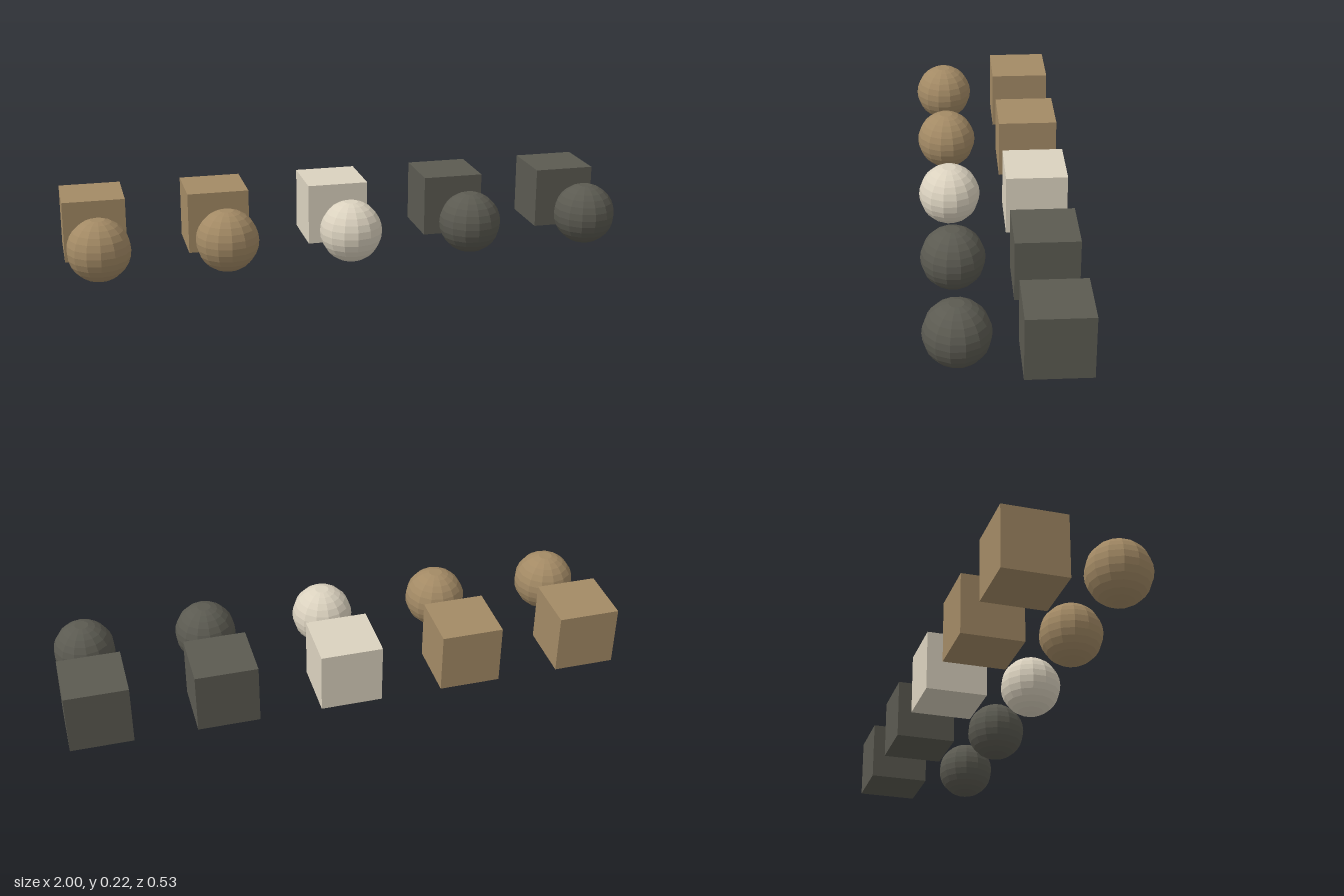
import * as THREE from 'three';

const SIZE = 0.222;       // cube side and ball diameter
const SPACING = 0.4445;   // distance between columns
const DEPTH = 0.156;      // distance of each row from the middle
const SIDES = 14;

// Low-poly ball with small flat caps at both poles
function ballGeometry(radius) {
  const profile = [];
  for (let i = 1; i < SIDES; i++) {
    const a = (i / SIDES) * Math.PI;
    profile.push(new THREE.Vector2(radius * Math.sin(a), -radius * Math.cos(a)));
  }
  const capY = profile[profile.length - 1].y;
  profile.unshift(new THREE.Vector2(0, -capY));
  profile.push(new THREE.Vector2(0, capY));
  const geometry = new THREE.LatheGeometry(profile, SIDES);
  geometry.translate(0, capY, 0);
  return geometry;
}

export function createModel() {
  const model = new THREE.Group();
  model.name = 'cubesAndBalls';

  const material = (name, color) =>
    new THREE.MeshStandardMaterial({ name, color, flatShading: true });
  const tan = material('tan', 0xa38a65);
  const cream = material('cream', 0xdbd2bf);
  const charcoal = material('charcoal', 0x5b5a51);

  const cube = new THREE.BoxGeometry(SIZE, SIZE, SIZE).translate(0, SIZE / 2, 0);
  const ball = ballGeometry(SIZE / 2);

  // Five columns: a cube at the back and a ball in front of it
  [tan, tan, cream, charcoal, charcoal].forEach((mat, i) => {
    const x = (i - 2) * SPACING;
    const add = (name, geometry, z) => {
      const mesh = new THREE.Mesh(geometry, mat);
      mesh.name = name + (i + 1);
      mesh.position.set(x, 0, z);
      model.add(mesh);
    };
    add('cube', cube, -DEPTH);
    add('ball', ball, DEPTH);
  });

  return model;
}
